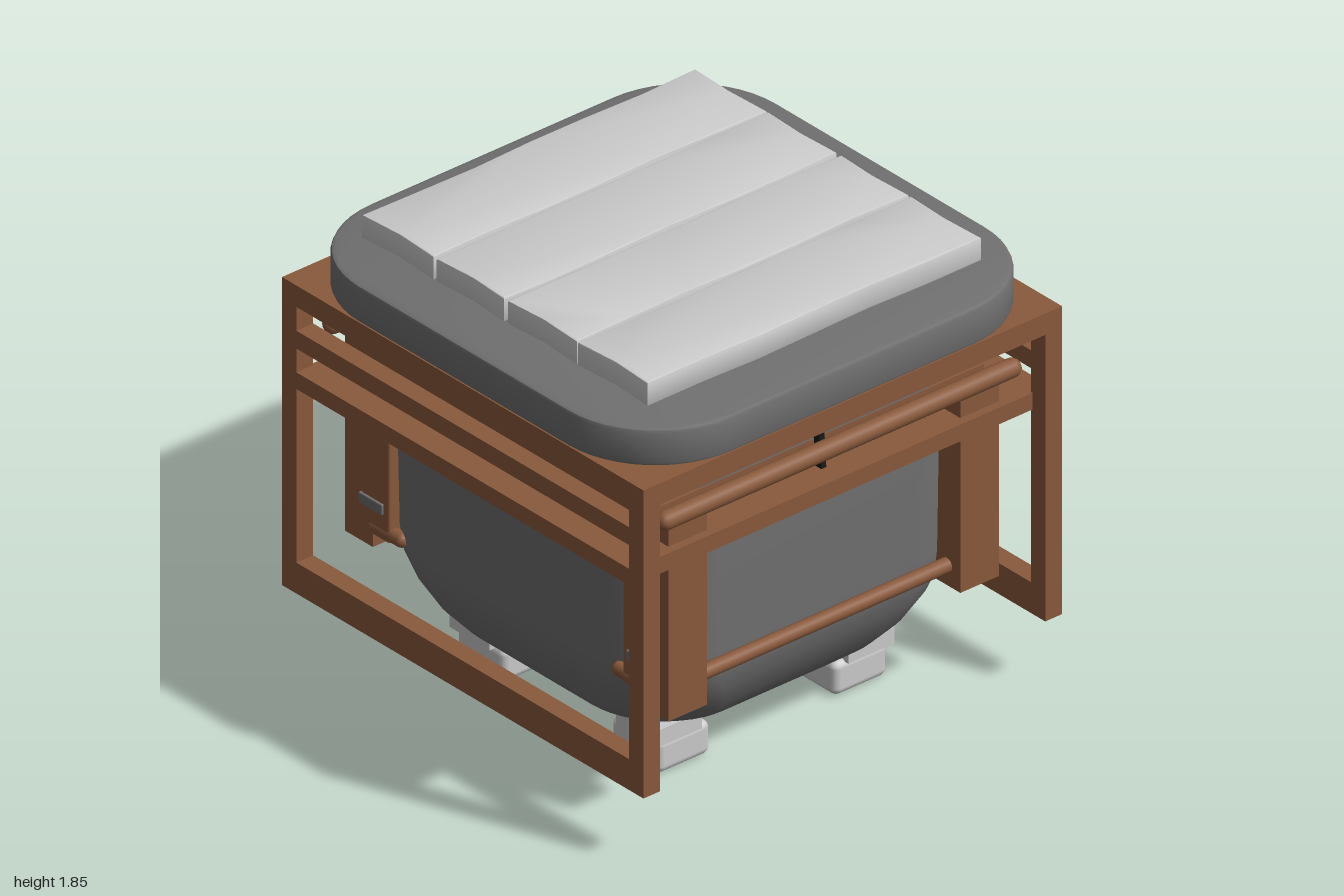
import * as THREE from 'three';
import { RoundedBoxGeometry } from 'three/addons/geometries/RoundedBoxGeometry.js';
import { toCreasedNormals } from 'three/addons/utils/BufferGeometryUtils.js';

const wood = new THREE.MeshStandardMaterial({ color: 0x8a5a3c });
const shell = new THREE.MeshStandardMaterial({ color: 0x707070 });
const light = new THREE.MeshStandardMaterial({ color: 0xcccccc });
const black = new THREE.MeshStandardMaterial({ color: 0x181818 });

export function createModel() {
  const model = new THREE.Group();

  const add = (name, geometry, material) => {
    const mesh = new THREE.Mesh(geometry, material);
    mesh.name = name;
    model.add(mesh);
    return mesh;
  };

  // Box given by its min and max on each axis
  const box = (name, mat, x0, x1, y0, y1, z0, z1, r = 0) => {
    const s = [x1 - x0, y1 - y0, z1 - z0];
    const g = r ? new RoundedBoxGeometry(...s, 2, r) : new THREE.BoxGeometry(...s);
    g.translate((x0 + x1) / 2, (y0 + y1) / 2, (z0 + z1) / 2);
    return add(name, g, mat);
  };

  // Same box mirrored to all four corners
  const corners = (name, mat, x0, x1, y0, y1, z0, z1, r = 0) => {
    for (const sx of [1, -1]) for (const sz of [1, -1]) {
      const xs = [sx * x0, sx * x1].sort((a, b) => a - b);
      const zs = [sz * z0, sz * z1].sort((a, b) => a - b);
      box(name, mat, xs[0], xs[1], y0, y1, zs[0], zs[1], r);
    }
  };

  // Points round a square with rounded corners, seen from above
  const roundedSquare = (half, radius, steps = 12) => {
    const pts = [];
    for (let q = 0; q < 4; q++) {
      const mid = (q + 0.5) * Math.PI / 2;
      const cx = Math.sign(Math.cos(mid)) * (half - radius);
      const cy = Math.sign(Math.sin(mid)) * (half - radius);
      for (let i = 0; i <= steps; i++) {
        const a = (q + i / steps) * Math.PI / 2;
        pts.push(new THREE.Vector2(cx + radius * Math.cos(a), cy + radius * Math.sin(a)));
      }
    }
    return pts;
  };

  // Flat shape raised from y0 to y1, with a small bevel
  const slab = (name, mat, pts, y0, y1, bevel = 0, hole) => {
    const shape = new THREE.Shape(pts);
    if (hole) shape.holes.push(new THREE.Path(hole));
    const g = new THREE.ExtrudeGeometry(shape, {
      depth: y1 - y0 - 2 * bevel, bevelEnabled: bevel > 0, bevelSize: bevel,
      bevelThickness: bevel, bevelOffset: -bevel, bevelSegments: 2,
    });
    g.rotateX(-Math.PI / 2).translate(0, y0 + bevel, 0);
    return add(name, toCreasedNormals(g, 0.5), mat);
  };
  const square = (x, z = x) => [[-x, -z], [x, -z], [x, z], [-x, z]].map(p => new THREE.Vector2(...p));

  // Bowl-shaped body lofted from rounded squares: [half width, corner radius, y]
  const profile = [[0.5, 0.3, 0.13], [0.57, 0.32, 0.165], [0.65, 0.34, 0.23], [0.715, 0.35, 0.31],
    [0.765, 0.35, 0.41], [0.79, 0.34, 0.5], [0.797, 0.33, 0.6], [0.8, 0.32, 1.0], [0.797, 0.3, 1.5]];
  const pos = [], idx = [];
  const n = roundedSquare(1, 0.3).length;
  for (const [half, radius, y] of profile) {
    for (const p of roundedSquare(half, radius)) pos.push(p.x, y, -p.y);
  }
  for (let k = 0; k < profile.length - 1; k++) for (let i = 0; i < n; i++) {
    const a = k * n + i, b = k * n + (i + 1) % n;
    idx.push(a, b, b + n, a, b + n, a + n);
  }
  pos.push(0, 0.13, 0);
  for (let i = 0; i < n; i++) idx.push(profile.length * n, (i + 1) % n, i);
  const bowl = new THREE.BufferGeometry();
  bowl.setAttribute('position', new THREE.Float32BufferAttribute(pos, 3));
  bowl.setIndex(idx);
  bowl.computeVertexNormals();
  add('body', bowl, shell);

  // Feet and struts under the body
  corners('foot', light, 0.295, 0.55, 0, 0.14, 0.295, 0.56, 0.03);
  corners('footBracket', light, 0.35, 0.57, 0.13, 0.2, 0.35, 0.57);
  for (const s of [1, -1]) box('footStrut', light, s * 0.42 - 0.05, s * 0.42 + 0.05, 0.13, 0.16, -0.35, 0.35);

  // Lid with a thin plate and spacers
  slab('lid', shell, roundedSquare(0.998, 0.42), 1.57, 1.725, 0.015);
  slab('topPlate', light, square(0.61), 1.72, 1.735);
  corners('plankSpacer', light, 0.32, 0.53, 1.73, 1.755, 0.3, 0.5);

  // Four planks with slightly uneven outlines
  [[-0.79, -0.4], [-0.385, -0.005], [0.01, 0.388], [0.405, 0.787]].forEach(([z0, z1], k) => {
    const wave = (i, j) => 0.006 * Math.sin(i * 1.9 + k * 2.3 + j * 1.3);
    const pts = [];
    for (let i = 0; i <= 6; i++) pts.push(new THREE.Vector2(-0.795 + i * 0.265, -z1 + wave(i, 0)));
    pts.push(new THREE.Vector2(0.787, -(z0 + z1) / 2));
    for (let i = 6; i >= 0; i--) pts.push(new THREE.Vector2(-0.795 + i * 0.265, -z0 + wave(i, 1)));
    pts.push(new THREE.Vector2(-0.783, -(z0 + z1) / 2));
    slab('plank', light, pts, 1.75, 1.85, 0.008);
  });

  // Outer stand: posts, top ring, shelves and side rails
  corners('framePost', wood, 0.92, 1, 0.28, 1.5, 0.92, 1);
  slab('frameTop', wood, square(1), 1.485, 1.575, 0, square(0.77));
  for (const s of [1, -1]) {
    const side = (name, inner, outer, y0, y1, z) =>
      box(name, wood, Math.min(s * inner, s * outer), Math.max(s * inner, s * outer), y0, y1, -z, z);
    side('bottomRail', 0.92, 1, 0.28, 0.41, 1);
    side('sideRail', 0.92, 1, 1.31, 1.385, 0.92);
    side('sideShelf', 0.77, 1, 1.14, 1.21, 0.92);
    const z0 = Math.min(s * 0.77, s * 0.93), z1 = Math.max(s * 0.77, s * 0.93);
    box('shelf', wood, -0.92, 0.92, 1.14, 1.21, z0, z1);
  }

  // Wooden bands round the body
  slab('lowerBand', wood, square(0.8), 1.2, 1.32, 0, square(0.74));
  slab('upperBand', wood, square(0.797), 1.43, 1.49, 0, square(0.74));

  // Legs, corner brackets and clips
  corners('legBoard', wood, 0.605, 0.79, 0.475, 1.3, 0.74, 0.895);
  corners('legSide', wood, 0.7, 0.795, 0.53, 1.3, 0.645, 0.8, 0.01);
  corners('cornerBracket', light, 0.4, 0.805, 1.07, 1.145, 0.4, 0.805);
  corners('legClip', shell, 0.76, 0.805, 0.64, 0.685, 0.675, 0.805, 0.005);

  // Rods with rounded ends, running along x unless turned
  const rod = (name, radius, length, x, y, z, alongZ) => {
    const g = new THREE.CapsuleGeometry(radius, length - 2 * radius * 0.5, 4, 16);
    g.scale(1, length / (length + radius), 1).rotateZ(Math.PI / 2);
    if (alongZ) g.rotateY(Math.PI / 2);
    add(name, g.translate(x, y, z), wood);
  };
  for (const s of [1, -1]) {
    rod('handleRod', 0.038, 1.73, 0, 1.347, s * 0.92);
    rod('lowerRod', 0.03, 1.3, 0, 0.56, s * 0.82);
    for (const t of [1, -1]) rod('legPeg', 0.03, 0.2, t * 0.77, 0.56, s * 0.675, true);
    // Dark tapered latch at the middle of the front and back
    const latch = new THREE.BoxGeometry(0.024, 0.27, 0.06);
    const p = latch.attributes.position;
    for (let i = 0; i < p.count; i++) {
      if (p.getY(i) > 0 && p.getZ(i) * s > 0) p.setZ(i, p.getZ(i) - s * 0.02);
    }
    latch.computeVertexNormals();
    add('latch', latch.translate(0, 1.345, s * 0.81), black);
  }

  return model;
}
